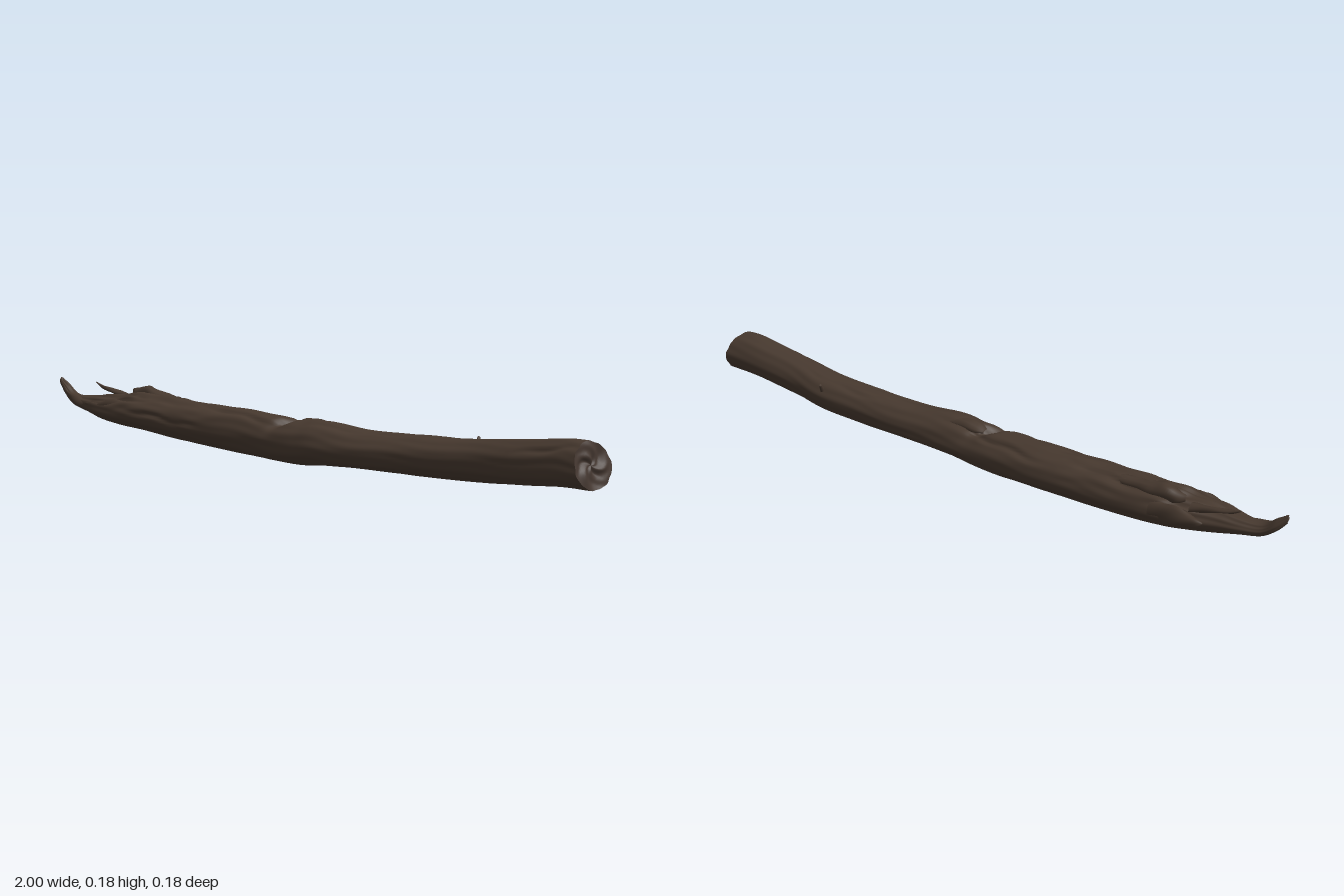
import * as THREE from 'three';

const bark = new THREE.MeshStandardMaterial({ color: 0x47392f });
bark.name = 'dark bark';
const wood = new THREE.MeshStandardMaterial({ color: 0x453831 });
wood.name = 'broken wood';

const { smoothstep } = THREE.MathUtils;
const bump = (v, centre, width) => Math.exp(-(((v - centre) / width) ** 2));

// Trunk sections: x, bottom, top, back, front
const TRUNK = [
  [-1.0, 0.165, 0.188, -0.008, 0.006], [-0.97, 0.13, 0.168, -0.018, 0.014],
  [-0.93, 0.102, 0.14, -0.022, 0.022], [-0.87, 0.088, 0.138, -0.033, 0.036],
  [-0.8, 0.07, 0.146, -0.045, 0.055], [-0.72, 0.057, 0.152, -0.066, 0.064],
  [-0.64, 0.048, 0.163, -0.086, 0.065], [-0.5, 0.034, 0.157, -0.087, 0.065],
  [-0.35, 0.024, 0.15, -0.081, 0.065], [-0.2, 0.013, 0.146, -0.075, 0.066],
  [-0.08, 0.006, 0.139, -0.067, 0.071], [0.02, 0.005, 0.135, -0.057, 0.079],
  [0.1, 0.01, 0.139, -0.055, 0.083], [0.25, 0.014, 0.126, -0.053, 0.077],
  [0.4, 0.015, 0.129, -0.056, 0.069], [0.57, 0.018, 0.134, -0.061, 0.065],
  [0.7, 0.025, 0.146, -0.046, 0.07], [0.8, 0.031, 0.155, -0.04, 0.074],
  [0.9, 0.038, 0.166, -0.037, 0.076], [0.965, 0.037, 0.165, -0.036, 0.078],
];

// Cracks along the bark: start x, end x, angle, twist, depth
const CRACKS = [
  [-0.95, -0.6, 0.15, 0.5, 0.016], [-0.9, -0.45, 0.75, -0.4, 0.011],
  [-0.82, -0.3, -0.6, 0.6, 0.01], [-0.45, -0.05, 0.5, 0.5, 0.008],
  [-0.3, 0.15, -0.7, 0.5, 0.009], [0.0, 0.5, 0.35, -0.3, 0.005],
  [0.3, 0.75, -0.5, 0.3, 0.005], [0.75, 0.97, 0.9, -0.4, 0.007],
  [-0.7, -0.35, 1.5, 0.2, 0.006],
];

// Interpolates the section list smoothly at t in 0..1
function sectionAt(list, t) {
  const f = t * (list.length - 1);
  const i = Math.min(Math.floor(f), list.length - 2), u = f - i;
  const at = (n) => list[Math.max(0, Math.min(list.length - 1, n))];
  return list[i].map((b, k) => {
    const a = at(i - 1)[k], c = at(i + 1)[k], d = at(i + 2)[k];
    return b + 0.5 * u * (c - a + u * (2 * a - 5 * b + 4 * c - d + u * (3 * (b - c) + d - a)));
  });
}

// Point on an oval section, pushed outward by relief(x, angle)
function ovalPoint([x, y0, y1, z0, z1], a, relief) {
  const r = relief(x, a, y1 - y0);
  return [x, (y0 + y1) / 2 + Math.cos(a) * ((y1 - y0) / 2 + r),
    (z0 + z1) / 2 + Math.sin(a) * ((z1 - z0) / 2 + r)];
}

// Joins rows of points into a closed tube surface
function loft(rows, sides, pointAt) {
  const pos = [], index = [];
  for (let i = 0; i <= rows; i++) {
    for (let j = 0; j < sides; j++) {
      pos.push(...pointAt(i / rows, (j / sides) * Math.PI * 2));
      if (i === rows) continue;
      const p = i * sides + j, q = i * sides + ((j + 1) % sides);
      index.push(p, q, p + sides, q, q + sides, p + sides);
    }
  }
  const geo = new THREE.BufferGeometry();
  geo.setAttribute('position', new THREE.Float32BufferAttribute(pos, 3));
  geo.setIndex(index);
  geo.computeVertexNormals();
  return geo;
}

// Bark ripples, long cracks, the cross break and the rough torn top
function barkRelief(x, a, height) {
  let r = 0.0014 * Math.sin(3 * a + 6 * x + 1) + 0.0011 * Math.sin(7 * a + 9 * x + 2 * Math.sin(5 * x))
    + 0.0007 * Math.sin(13 * a - 11 * x + Math.sin(23 * x));
  const up = Math.max(0, Math.cos(a));
  const torn = up * smoothstep(-x, 0.05, 0.6);
  r += torn * (0.003 * Math.sin(11 * a + 14 * x + 2 * Math.sin(19 * x)) + 0.002 * Math.sin(47 * x + 3 * a));
  const turn = Math.atan2(Math.sin(a), Math.cos(a));
  for (const [x0, x1, angle, twist, depth] of CRACKS) {
    const t = (x - x0) / (x1 - x0);
    if (t <= 0 || t >= 1) continue;
    const line = angle + twist * (t - 0.5) + 0.07 * Math.sin(38 * x);
    r -= depth * Math.sin(Math.PI * t) * bump(turn, line, 0.12);
  }
  r -= 0.027 * bump(x, -0.025 - 0.05 * turn, 0.022) * bump(turn, 0.1, 0.75);
  return r * Math.min(1, height / 0.1);
}

// Slants the sawn-off right end
function slantEnd([x, y, z]) {
  const k = smoothstep(x, 0.86, 0.965);
  return [x + k * (0.012 - (z - 0.02) * 0.38 - (y - 0.1) * 0.18), y, z];
}

// Small tapered sliver built from the same kind of sections
function sliver(list) {
  const rough = (x, a, h) => h * 0.07 * Math.sin(3 * a + 60 * x);
  return loft(24, 10, (t, a) => ovalPoint(sectionAt(list, t), a, rough));
}

const SLIVERS = {
  tipSplinter: [[-0.985, 0.163, 0.165, 0.008, 0.01], [-0.95, 0.128, 0.145, 0.004, 0.02],
    [-0.88, 0.095, 0.13, 0.005, 0.035], [-0.82, 0.1, 0.12, 0.01, 0.03]],
  thinSplinter: [[-0.88, 0.174, 0.178, -0.042, -0.038], [-0.85, 0.158, 0.169, -0.045, -0.034],
    [-0.8, 0.145, 0.161, -0.05, -0.03], [-0.73, 0.12, 0.15, -0.055, -0.025]],
  backSplinter: [[-0.79, 0.122, 0.128, -0.085, -0.079], [-0.765, 0.108, 0.136, -0.092, -0.074],
    [-0.7, 0.088, 0.145, -0.092, -0.06], [-0.62, 0.08, 0.14, -0.086, -0.05]],
  topRidge: [[-0.715, 0.15, 0.168, -0.048, -0.036], [-0.69, 0.14, 0.172, -0.06, -0.022],
    [-0.65, 0.135, 0.184, -0.064, -0.018], [-0.6, 0.135, 0.17, -0.06, -0.01],
    [-0.5, 0.13, 0.156, -0.045, -0.015]],
  frontSplinter: [[-0.85, 0.118, 0.121, 0.04, 0.044], [-0.8, 0.1, 0.13, 0.03, 0.052],
    [-0.72, 0.09, 0.14, 0.03, 0.06], [-0.62, 0.09, 0.13, 0.03, 0.055]],
  breakLip: [[-0.01, 0.118, 0.128, -0.01, 0.01], [0.02, 0.11, 0.139, -0.02, 0.03],
    [0.08, 0.11, 0.141, -0.02, 0.035], [0.2, 0.105, 0.124, -0.01, 0.02]],
};

export function createModel() {
  const model = new THREE.Group();
  const add = (name, geo, mat) => {
    const mesh = new THREE.Mesh(geo, mat);
    mesh.name = name;
    model.add(mesh);
    return mesh;
  };

  // Trunk, with evenly spaced rows between sections
  add('trunk', loft(260, 64, (t, a) => slantEnd(ovalPoint(sectionAt(TRUNK, t), a, barkRelief))), bark);

  // Uneven face closing the right end
  const last = TRUNK[TRUNK.length - 1];
  add('brokenEnd', loft(10, 64, (t, a) => {
    const [x, y, z] = slantEnd(ovalPoint(last, a, barkRelief));
    const s = 1 - t, cy = 0.101, cz = 0.021;
    const centreX = 0.977;
    const dent = t * s * (0.018 * Math.sin(3 * a + 1) + 0.012 * Math.sin(5 * a + 9 * t));
    return [centreX + (x - centreX) * s + dent - 0.006 * t, cy + (y - cy) * s, cz + (z - cz) * s];
  }), wood);

  // Torn slivers on the left end and along the top
  for (const [name, list] of Object.entries(SLIVERS)) add(name, sliver(list), bark);

  // Closed tip of the left end
  const tip = add('tip', new THREE.SphereGeometry(0.009, 10, 8), bark);
  tip.scale.set(0.6, 1.2, 0.75);
  tip.position.set(-0.995, 0.176, -0.001);

  // Short twig stub at the back
  const twig = add('twigStub', new THREE.CylinderGeometry(0.004, 0.009, 0.04, 9), bark);
  twig.position.set(0.575, 0.113, -0.056);
  twig.rotation.set(-0.6, 0, 0.25);

  return model;
}
